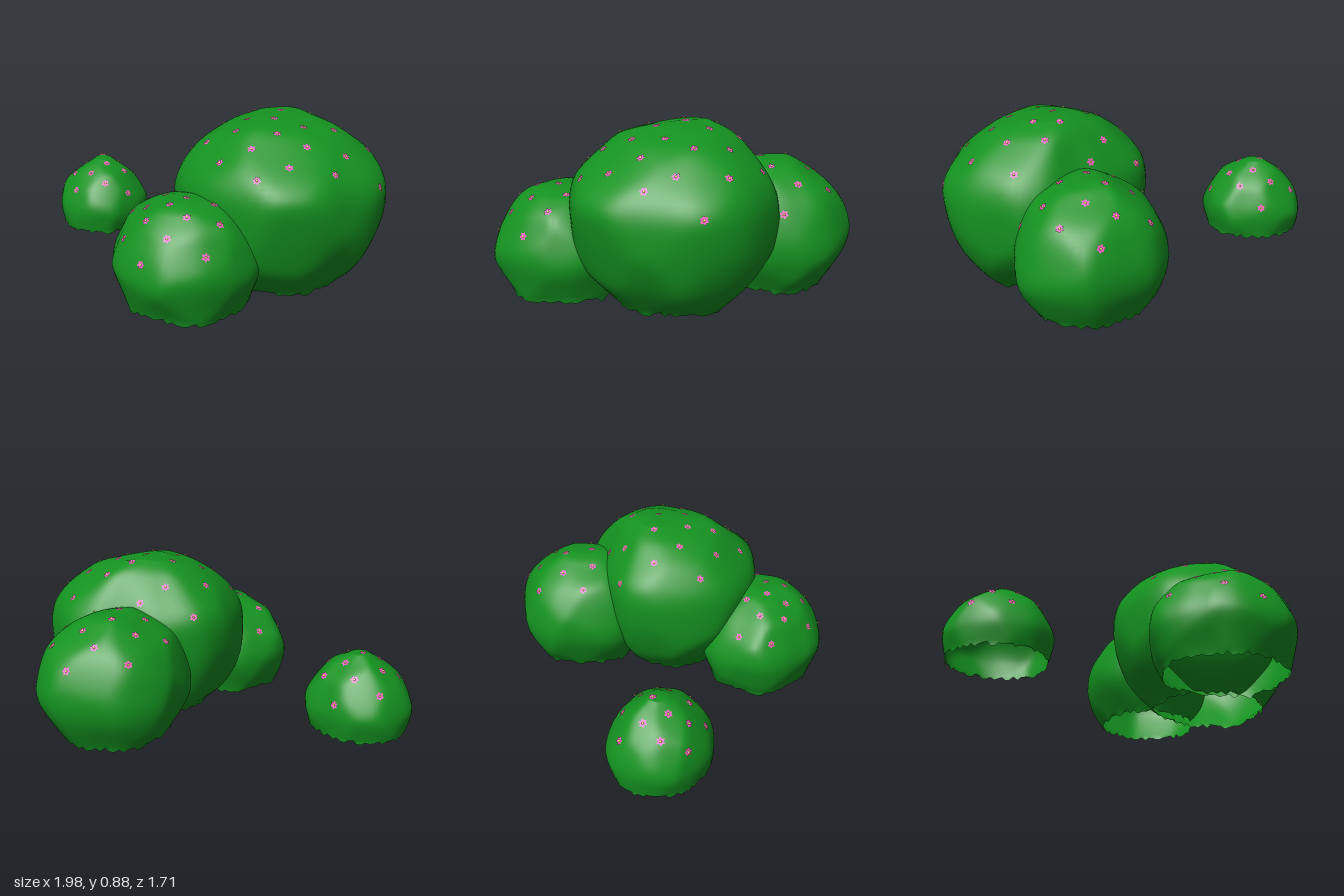
import * as THREE from 'three';
import { mergeGeometries } from 'three/addons/utils/BufferGeometryUtils.js';

const leafMat = new THREE.MeshStandardMaterial({ color: 0x149220, side: THREE.DoubleSide });
const petalMat = new THREE.MeshStandardMaterial({ color: 0xff5cc4, side: THREE.DoubleSide });
const centreMat = new THREE.MeshStandardMaterial({ color: 0xffe070 });

function seeded(s) {
  return () => (s = (s * 16807) % 2147483647) / 2147483647;
}

// Loft a plan outline (radii at even angles from +x towards +z) through levels [y, scale].
// Above the widest level the rings shrink towards the peak; the base is open and ragged.
function bushGeometry({ mid, peak, radii, levels, seed }) {
  const rand = seeded(seed * 7919);
  const N = 75, M = 40;
  const outline = new THREE.CatmullRomCurve3(radii.map((r, i) => {
    const a = (i / radii.length) * Math.PI * 2;
    return new THREE.Vector3(r * Math.cos(a), 0, r * Math.sin(a));
  }), true).getPoints(N);
  const profile = new THREE.SplineCurve(levels.map(([y, s]) => new THREE.Vector2(s, y)));
  const top = levels[levels.length - 1][0];
  const widest = levels.find((l) => l[1] === 1)[0];

  // Soft facets: push the surface towards a rounded polyhedron
  const half = new THREE.Vector3(radii[0], top * 0.6, radii[4]);
  const core = new THREE.Vector3(mid[0], top * 0.4, mid[1]);
  const facets = Array.from({ length: 30 }, (_, i) => {
    const y = 1 - (2 * i + 1) / 30, a = i * 2.4 + rand() * 0.7, r = Math.sqrt(1 - y * y);
    return new THREE.Vector3(r * Math.cos(a), y, r * Math.sin(a));
  });
  const soften = (v) => {
    const d = v.clone().sub(core).divide(half).normalize();
    const sum = facets.reduce((s, f) => s + Math.exp(40 * d.dot(f)), 0);
    return v.sub(core).multiplyScalar(1 + 0.45 * (40 / Math.log(sum) - 1.04)).add(core);
  };

  const pos = [], index = [];
  for (let j = 0; j <= M; j++) {
    const { x: s, y } = profile.getPoint(j / M);
    const lean = y > widest ? 1 - s : 0;
    const cx = mid[0] + (peak[0] - mid[0]) * lean, cz = mid[1] + (peak[1] - mid[1]) * lean;
    for (let i = 0; i < N; i++) {
      const v = soften(new THREE.Vector3(cx + outline[i].x * s, y, cz + outline[i].z * s));
      if (j === 0) v.y += (rand() - 0.5) * 0.025;
      pos.push(v.x, Math.max(v.y, 0), v.z);
      if (j < M) {
        const a = j * N + i, b = j * N + (i + 1) % N;
        index.push(a, a + N, b, b, a + N, b + N);
      }
    }
  }
  // Crown
  pos.push(...soften(new THREE.Vector3(peak[0], top + 0.006, peak[1])).toArray());
  for (let i = 0; i < N; i++) index.push(M * N + i, (M + 1) * N, M * N + (i + 1) % N);

  const g = new THREE.BufferGeometry();
  g.setAttribute('position', new THREE.Float32BufferAttribute(pos, 3));
  g.setIndex(index);
  g.computeVertexNormals();
  return g;
}

// One blossom facing +y: a flat six-lobed corolla around a raised centre
const petals = new THREE.ShapeGeometry(new THREE.Shape(Array.from({ length: 36 }, (_, i) => {
  const a = (i / 36) * Math.PI * 2, r = 0.017 + 0.004 * Math.cos(6 * a);
  return new THREE.Vector2(r * Math.cos(a), r * Math.sin(a));
}))).rotateX(-Math.PI / 2).translate(0, 0.004, 0);
const centre = new THREE.SphereGeometry(1, 10, 5).scale(0.006, 0.004, 0.006).translate(0, 0.004, 0);

// Spread flowers in a sunflower spiral over the plan, then drop each onto the exposed foliage
function addFlowers(bush, { mid, radii, flowers, seed }, foliage, allFoliage) {
  const up = new THREE.Vector3(0, 1, 0);
  const frames = [];
  for (let i = 0; i < flowers; i++) {
    const turn = (i * 0.382 + seed * 0.1) % 1;
    const r = radii[Math.floor(turn * radii.length)] * 0.95 * Math.sqrt((i + 0.5) / flowers);
    const a = turn * Math.PI * 2;
    const from = new THREE.Vector3(mid[0] + r * Math.cos(a), 3, mid[1] + r * Math.sin(a));
    const hit = new THREE.Raycaster(from, new THREE.Vector3(0, -1, 0)).intersectObjects(allFoliage)[0];
    if (!hit || hit.object !== foliage) continue;
    const tilt = new THREE.Quaternion().setFromUnitVectors(up, hit.face.normal);
    frames.push(new THREE.Matrix4().compose(hit.point, tilt, new THREE.Vector3(1, 1, 1)));
  }
  for (const [name, geo, mat] of [['flowerPetals', petals, petalMat], ['flowerCentres', centre, centreMat]]) {
    const mesh = new THREE.Mesh(mergeGeometries(frames.map((m) => geo.clone().applyMatrix4(m))), mat);
    mesh.name = name;
    bush.add(mesh);
  }
}

const largeBush = {
  name: 'largeBush', seed: 3, flowers: 29, mid: [0.47, 0.035], peak: [0.42, -0.08],
  radii: [0.51, 0.467, 0.472, 0.474, 0.477, 0.493, 0.515, 0.525, 0.528, 0.54, 0.465, 0.438, 0.5, 0.51, 0.53],
  levels: [[0.03, 0.59], [0.2, 0.87], [0.43, 1], [0.62, 0.94], [0.8, 0.58], [0.86, 0.28]],
};
const frontBush = {
  name: 'frontBush', seed: 11, flowers: 25, mid: [0.155, 0.495], peak: [0.19, 0.53],
  radii: [0.386, 0.37, 0.368, 0.354, 0.347, 0.346, 0.33, 0.358, 0.38, 0.361, 0.365, 0.348, 0.357, 0.376, 0.383],
  levels: [[0.02, 0.82], [0.22, 1], [0.4, 0.8], [0.5, 0.5], [0.537, 0.23]],
};
const backBush = {
  name: 'backBush', seed: 23, flowers: 18, mid: [0.445, -0.493], peak: [0.45, -0.47],
  radii: [0.352, 0.346, 0.347, 0.35, 0.356, 0.375, 0.386, 0.363, 0.346, 0.362, 0.367, 0.355, 0.362, 0.374, 0.382],
  levels: [[0.07, 0.75], [0.25, 1], [0.4, 0.98], [0.55, 0.79], [0.65, 0.41], [0.675, 0.2]],
};
const smallBush = {
  name: 'smallBush', seed: 37, flowers: 17, mid: [-0.73, -0.145], peak: [-0.72, -0.165],
  radii: [0.269, 0.265, 0.266, 0.263, 0.245, 0.242, 0.246, 0.254, 0.274, 0.274, 0.278, 0.265, 0.257, 0.251, 0.267],
  levels: [[0.09, 0.92], [0.2, 1], [0.3, 0.89], [0.4, 0.61], [0.475, 0.18]],
};

export function createModel() {
  const model = new THREE.Group();
  model.name = 'floweringBushes';
  const specs = [largeBush, frontBush, backBush, smallBush];
  const allFoliage = specs.map((spec) => {
    const foliage = new THREE.Mesh(bushGeometry(spec), leafMat);
    foliage.name = 'foliage';
    return foliage;
  });
  specs.forEach((spec, i) => {
    const bush = new THREE.Group();
    bush.name = spec.name;
    bush.add(allFoliage[i]);
    addFlowers(bush, spec, allFoliage[i], allFoliage);
    model.add(bush);
  });
  return model;
}
